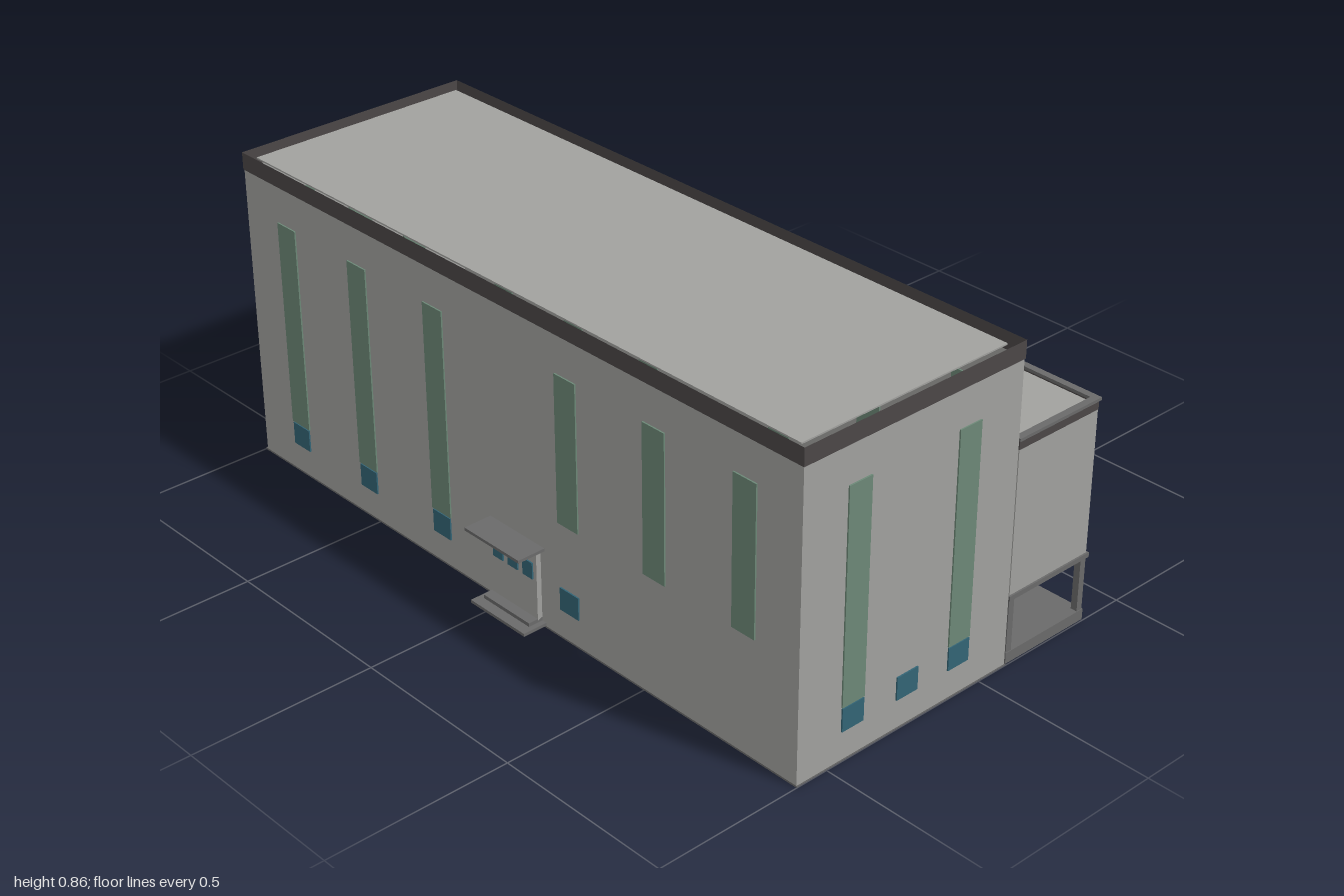
import * as THREE from 'three';

const mat = (name, color, side = THREE.FrontSide) => {
  const m = new THREE.MeshStandardMaterial({ color, side });
  m.name = name;
  return m;
};

export function createModel() {
  const wall = mat('concrete', 0xa1a19e, THREE.DoubleSide);
  const trim = mat('dark trim', 0x4b4747, THREE.DoubleSide);
  const steel = mat('grey steel', 0x6a6a6a, THREE.DoubleSide);
  const green = mat('green glass', 0x6c8877);
  const blue = mat('blue glass', 0x336475);
  const root = new THREE.Group();
  root.name = 'industrialBuilding';

  const group = (name) => {
    const g = new THREE.Group();
    g.name = name;
    root.add(g);
    return g;
  };
  const add = (parent, name, geometry, material) => {
    const m = new THREE.Mesh(geometry, material);
    m.name = name;
    parent.add(m);
    return m;
  };
  // Solid box given by its limits
  const box = (parent, name, material, x0, x1, y0, y1, z0, z1) => {
    const m = add(parent, name, new THREE.BoxGeometry(x1 - x0, y1 - y0, z1 - z0), material);
    m.position.set((x0 + x1) / 2, (y0 + y1) / 2, (z0 + z1) / 2);
    return m;
  };
  // Four sides only, open above and below
  const shell = (...args) => {
    const m = box(...args);
    const i = Array.from(m.geometry.index.array);
    m.geometry.setIndex([...i.slice(0, 12), ...i.slice(24, 36)]);
    m.geometry.clearGroups();
    return m;
  };
  // Rectangular ring of width t
  const ring = (parent, name, material, x0, x1, y0, y1, z0, z1, t) => {
    const rect = (P, d) => new P([
      new THREE.Vector2(x0 + d, -z0 - d), new THREE.Vector2(x0 + d, -z1 + d),
      new THREE.Vector2(x1 - d, -z1 + d), new THREE.Vector2(x1 - d, -z0 - d)]);
    const s = rect(THREE.Shape, 0);
    s.holes.push(rect(THREE.Path, t));
    const g = new THREE.ExtrudeGeometry(s, { depth: y1 - y0, bevelEnabled: false });
    g.rotateX(-Math.PI / 2).translate(0, y0, 0);
    return add(parent, name, g, material);
  };
  // Thin panes set in a wall facing x or z
  const T = 0.004;
  const panes = (parent, name, material, axis, plane, centers, w, y0, y1) => {
    for (const c of centers) {
      if (axis === 'z') box(parent, name, material, c - w / 2, c + w / 2, y0, y1, plane - T, plane + T);
      else box(parent, name, material, plane - T, plane + T, y0, y1, c - w / 2, c + w / 2);
    }
  };

  // Main hall
  const hall = group('mainHall');
  const [hx0, hx1, hz] = [-0.59, 0.094, 0.996];
  shell(hall, 'hallWalls', wall, hx0, hx1, 0, 0.817, -hz, hz);
  shell(hall, 'hallParapet', trim, hx0 - 0.002, hx1 + 0.002, 0.815, 0.862, -hz - 0.002, hz + 0.002);
  shell(hall, 'hallPlinth', steel, hx0 - 0.003, hx1 + 0.002, 0, 0.005, -hz - 0.003, hz + 0.003);
  box(hall, 'hallRoof', wall, -0.568, 0.07, 0.846, 0.85, -0.97, 0.965);

  const ends = [-0.42, -0.245, -0.075];
  const sides = [-0.825, -0.537, -0.24, 0.24, 0.537, 0.825];
  const tall = [0.145, 0.715], low = [0.08, 0.142];
  panes(hall, 'frontTallWindow', green, 'z', hz, [ends[0], ends[2]], 0.07, ...tall);
  panes(hall, 'frontLowWindow', blue, 'z', hz, ends, 0.068, ...low);
  panes(hall, 'backTallWindow', green, 'z', -hz, ends, 0.07, ...tall);
  panes(hall, 'backLowWindow', blue, 'z', -hz, ends, 0.068, ...low);
  panes(hall, 'rightTallWindow', green, 'x', hx1, sides, 0.072, ...tall);
  panes(hall, 'rightLowWindow', blue, 'x', hx1, sides, 0.066, ...low);
  panes(hall, 'leftTallWindow', green, 'x', hx0, sides.slice(0, 3), 0.072, ...tall);
  panes(hall, 'leftShortWindow', green, 'x', hx0, sides.slice(3), 0.072, 0.32, 0.715);
  panes(hall, 'leftLowWindow', blue, 'x', hx0, sides.slice(0, 4), 0.066, ...low);

  // Entrance porch with canopy and steps
  const porch = group('porch');
  box(porch, 'porchWall', wall, -0.604, hx0, 0, 0.215, -0.035, 0.135);
  box(porch, 'porchCanopy', steel, -0.67, hx0, 0.214, 0.222, -0.05, 0.15);
  box(porch, 'lowerStep', steel, -0.66, hx0, 0.004, 0.012, -0.05, 0.15);
  box(porch, 'upperStep', steel, -0.632, hx0, 0.012, 0.022, -0.035, 0.135);
  panes(porch, 'porchWindow', blue, 'x', -0.604, [-0.005, 0.05, 0.105], 0.036, 0.13, 0.175);

  // Low annex
  const annex = group('annex');
  const [ax0, ax1, az0, az1] = [0.097, 0.658, -0.986, -0.668];
  shell(annex, 'annexWalls', wall, ax0, ax1, 0, 0.328, az0, az1);
  shell(annex, 'annexTrim', trim, ax0 - 0.001, ax1 + 0.002, 0.325, 0.351, az0 - 0.002, az1 + 0.002);
  ring(annex, 'annexCap', steel, ax0 - 0.004, ax1 + 0.004, 0.35, 0.357, az0 - 0.004, az1 + 0.004, 0.019);
  ring(annex, 'annexPlinth', steel, ax0, ax1 + 0.003, 0, 0.014, az0 - 0.003, az1 + 0.003, 0.015);
  box(annex, 'annexRoof', wall, ax0 + 0.004, ax1 - 0.004, 0.336, 0.34, az0 + 0.004, az1 - 0.004);
  const bays = [0.235, 0.378, 0.52];
  for (const z of [az0, az1]) {
    panes(annex, 'annexTallWindow', green, 'z', z, bays, 0.05, 0.08, 0.302);
    panes(annex, 'annexLowWindow', blue, 'z', z, bays, 0.042, 0.037, 0.073);
  }
  panes(annex, 'annexSideTallWindow', green, 'x', ax1, [-0.763, -0.888], 0.056, 0.08, 0.302);
  panes(annex, 'annexSideLowWindow', blue, 'x', ax1, [-0.763, -0.888], 0.044, 0.037, 0.073);

  // Raised tower on an open frame
  const tower = group('tower');
  const [tx0, tx1, tz0, tz1] = [0.1, 0.373, 0.725, 0.994];
  shell(tower, 'towerWalls', wall, tx0, tx1, 0.188, 0.582, tz0, tz1);
  shell(tower, 'towerTrim', trim, tx0 - 0.001, tx1 + 0.001, 0.579, 0.604, tz0 - 0.001, tz1 + 0.001);
  ring(tower, 'towerCap', steel, tx0 - 0.004, tx1 + 0.005, 0.603, 0.611, tz0 - 0.005, tz1 + 0.005, 0.019);
  box(tower, 'towerRoof', wall, tx0 + 0.003, tx1 - 0.003, 0.588, 0.592, tz0 + 0.003, tz1 - 0.003);
  box(tower, 'towerPlatform', steel, tx0 - 0.004, tx1 + 0.005, 0.177, 0.19, tz0 - 0.005, tz1 + 0.005);
  box(tower, 'towerBase', steel, tx0 - 0.002, tx1 + 0.002, 0, 0.03, tz0 - 0.002, tz1 + 0.002);
  const leg = 0.018;
  for (const x of [tx0, tx1 - leg])
    for (const z of [tz0, tz1 - leg])
      box(tower, 'towerLeg', steel, x, x + leg, 0.03, 0.178, z, z + leg);
  const hopper = add(tower, 'hopper', new THREE.CylinderGeometry(0.085, 0.036, 0.088, 24, 1, true), steel);
  hopper.position.set(0.236, 0.134, 0.86);
  panes(tower, 'towerTallWindow', blue, 'x', tx1, [0.793], 0.044, 0.43, 0.55);
  panes(tower, 'towerSmallWindow', blue, 'x', tx1, [0.885], 0.044, 0.34, 0.382);
  panes(tower, 'towerBackWindow', blue, 'z', tz0, [0.27], 0.045, 0.235, 0.28);

  return root;
}
